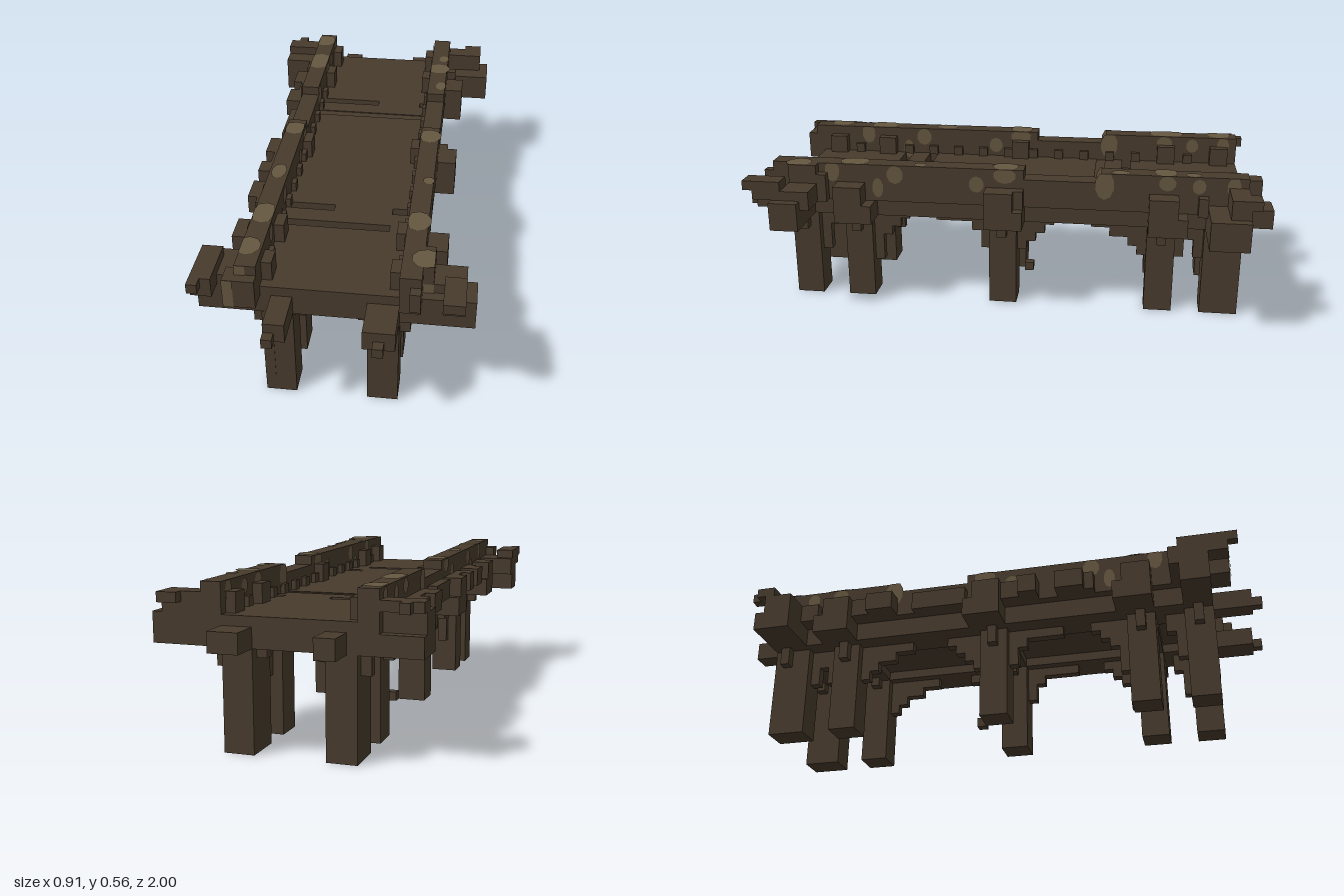
import * as THREE from 'three';

const U = 2 / 57; // edge of one block
const wood = new THREE.MeshStandardMaterial({ color: 0x483b2d });
wood.name = 'darkWood';
const moss = new THREE.MeshStandardMaterial({ color: 0x665841, side: THREE.DoubleSide });
moss.name = 'paleMoss';

const X = (i) => i * U, Z = (k) => (k - 28.5) * U;

export function createModel() {
  const root = new THREE.Group();
  root.name = 'timberBridge';

  // Box between block coordinates: x -13..13, y 0..16, z 0..57
  function box(name, x0, x1, y0, y1, z0, z1) {
    const g = new THREE.BoxGeometry((x1 - x0) * U, (y1 - y0) * U, (z1 - z0) * U);
    const m = new THREE.Mesh(g, wood);
    m.name = name;
    m.position.set(X((x0 + x1) / 2), ((y0 + y1) / 2) * U, Z((z0 + z1) / 2));
    root.add(m);
  }
  // The same box on both sides of the bridge axis (x = -0.5)
  function pair(name, x0, x1, y0, y1, z0, z1) {
    box(name, x0, x1, y0, y1, z0, z1);
    box(name, -1 - x1, -1 - x0, y0, y1, z0, z1);
  }

  // Deck: lower boards, then planks with open grooves
  box('deckBase', -7, 6, 11, 12, 3, 52);
  for (const [a, b] of [[3, 15], [16, 18], [19, 38], [39, 41], [42, 52]]) {
    box('deckPlanks', -7, 6, 12, 13, a, b);
  }
  box('plankInfill', 0, 5, 12, 13, 15, 16);
  box('plankInfill', -7, 6, 12, 12.9, 18, 19);
  box('plankInfill', -2, 4, 12, 13, 38, 39);
  box('plankInfill', 4, 6, 12, 13, 41, 42);

  // Long beams under the deck, with worn ends
  pair('stringer', 3, 6, 10, 12, 3, 52);
  box('beamEnd', 3, 6, 10, 12, 0, 3);
  box('beamEnd', -6, -4, 10, 12, 0, 3);
  box('beamEnd', 3, 6, 10, 12, 52, 56);
  box('beamEnd', -6, -4, 10, 12, 52, 56);
  box('beamTip', 4, 5, 10, 11, 56, 57);
  box('beamTip', -6, -5, 10, 11, 56, 57);

  // Cross beams over each row of legs
  box('endCrossBeam', -13, 13, 10, 12, 3, 7);
  box('endCrossBeam', -13, 13, 10, 12, 49, 52);
  for (const [a, b] of [[9, 13], [26, 30], [42, 46]]) {
    box('crossBeam', -11, 10, 10, 12, a, b);
    pair('postOuter', 8, 10, 11, 14, a + 1, b);
    pair('postInner', 5, 6, 12, 15, a + 1, b - 1);
  }

  // Legs
  for (const [a, b] of [[3, 7], [10, 13], [27, 30], [43, 46], [49, 52]]) {
    pair('leg', 3, 6, 0, 10, a, b);
  }
  box('legNub', -4, -3, 0, 1, 26, 27);
  box('legStrip', -7, -6, 2, 10, 52, 52.05);

  // Stepped braces: [z start, z end, lowest y]
  const steps = [
    [48, 49, 5], [47, 48, 8],
    [42, 43, 4], [41, 42, 7], [40, 41, 8], [39, 40, 9],
    [32, 36, 9], [31, 32, 8], [30, 31, 6],
    [26, 27, 6], [25, 26, 7], [24, 25, 8], [23, 24, 9],
    [17, 19, 9], [15, 17, 8], [14, 15, 7], [13, 14, 6],
    [9, 10, 6], [8, 9, 8], [7, 8, 6],
  ];
  for (const [a, b, y] of steps) pair('brace', 4, 5, y, 10, a, b);
  for (const z of [4, 11, 28, 44, 50]) {
    pair('sideBrace', 6, 7, 8, 10, z, z + 1);
    pair('sideBrace', 2, 3, 9, 10, z, z + 1);
  }

  // Railings: lower beam, wall and cap, lower in the broken stretch
  pair('railBase', 6, 7, 10, 13, 3, 52);
  pair('railWall', 6, 8, 12, 15, 3, 53);
  pair('railCap', 6, 8, 15, 16, 3, 18);
  pair('railCap', 6, 8, 15, 16, 26, 53);
  for (let z = 5; z < 52; z += 3) pair('railTooth', 5.5, 6, 13, 14, z, z + 1);

  // Worn blocks along the left-hand outer edge of the plan
  const chips = [
    [-10, 7, 9], [-10, 13, 15], [-11, 15, 18], [-10, 20, 26], [-10, 30, 32],
    [-11, 32, 34], [-11, 36, 39], [-10, 39, 40],
  ];
  for (const [x, a, b] of chips) box('outerBlock', x, -9, 12, 14, a, b);
  box('outerBlock', 8, 9, 12, 14, 7, 8);
  box('outerBlock', 8, 9, 12, 14, 26, 27);
  box('outerBlock', 8, 9, 12, 15, 47, 48);

  // Corner posts with broken arms
  box('cornerBlock', 8, 13, 12, 13, 3, 7);
  box('cornerArm', 8, 12, 13, 15, 3, 5);
  box('cornerTip', 10, 12, 14, 15, 2, 3);
  box('cornerBlock', -13, -9, 12, 14, 4, 7);
  box('cornerArm', -13, -9, 14, 15, 3, 5);
  box('cornerTip', -12, -11, 14, 15, 2, 3);
  box('cornerBlock', 8, 13, 12, 13, 49, 52);
  box('cornerArm', 8, 12, 12, 14, 48, 51);
  box('cornerArm', 10, 12, 13, 15, 51, 54);
  box('cornerTip', 10, 12, 14, 15, 54, 55);
  box('cornerCap', 8, 9, 14, 16, 48, 51);
  box('cornerBlock', -13, -9, 12, 14, 48, 52);
  box('cornerArm', -13, -11, 13, 15, 49, 54);
  box('cornerTip', -13, -12, 14, 15, 53, 55);
  box('cornerCap', -10, -7, 12, 15, 52, 54);
  box('cornerTip', 7, 8, 13, 15, 53, 54);
  pair('cornerInner', 5, 6, 12, 15, 4, 6);
  pair('cornerInner', 5, 6, 12, 15, 49, 51);

  // Moss patch: an eight-sided spot cut off at the limits of its face
  function spot(u, v, ru, rv, uMin, uMax, vMin, vMax) {
    const pts = [];
    for (let i = 0; i < 10; i++) {
      const a = (i / 10) * Math.PI * 2 + 0.3;
      pts.push(new THREE.Vector2(
        THREE.MathUtils.clamp(u + Math.cos(a) * ru, uMin, uMax) * U,
        THREE.MathUtils.clamp(v + Math.sin(a) * rv, vMin, vMax) * U));
    }
    return new THREE.ShapeGeometry(new THREE.Shape(pts));
  }
  function patch(g) {
    const m = new THREE.Mesh(g, moss);
    m.name = 'mossPatch';
    root.add(m);
  }
  // On the rail caps: [left side?, x, z, radius x, radius z]
  const tops = [
    [1, -8.3, 5, 1.5, 1.4], [1, -8, 11, 1.5, 2], [1, -8, 28, 1.5, 1.3],
    [1, -8, 37, 0.8, 1.4], [1, -8, 44.6, 1.4, 1.7], [1, -8.4, 50, 1.3, 1.4],
    [0, 7, 11.4, 1.4, 1.2], [0, 7, 28, 1.3, 1.4], [0, 7.5, 16, 0.6, 1],
    [0, 7.5, 8.6, 0.6, 0.8], [0, 7, 44.2, 1.3, 1.6], [0, 7.5, 37, 0.6, 0.7],
    [0, 8.2, 50, 1.4, 1.4],
  ];
  for (const [left, x, z, rx, rz] of tops) {
    const g = spot(x, -z, rx, rz, left ? -9 : 6, left ? -7 : 9, -53, -3);
    g.rotateX(-Math.PI / 2);
    g.translate(0, 16 * U + 0.003, Z(0));
    patch(g);
  }
  // On the faces of both rails: [z, y, radius z, radius y]
  const sides = [
    [46.5, 15.3, 0.8, 1.3], [41.6, 13.5, 0.6, 1.1], [39.7, 15, 0.9, 1],
    [31, 14.3, 0.8, 0.9], [28, 15.4, 1.2, 0.9], [17.6, 14.8, 1, 1.6],
    [11.2, 15.2, 0.9, 0.8], [8, 15, 0.7, 0.8], [4.5, 15, 0.7, 1.2],
  ];
  for (const [z, y, rz, ry] of sides) {
    for (const x of [8, 6, -7, -9]) {
      const out = x === 8 || x === -7 ? 1 : -1;
      const g = spot(-z, y, rz, ry, -53, -3, 12, 16);
      g.rotateY(Math.PI / 2);
      g.translate(X(x) + out * 0.003, 0, Z(0));
      patch(g);
    }
  }
  // On the end faces: [x0, x1, y0, y1, z]
  for (const [x0, x1, y0, y1, z] of [[-10, -9, 12, 15, 54], [-9, -8, 15, 16, 53], [8, 9, 13, 14, 51]]) {
    const g = new THREE.PlaneGeometry((x1 - x0) * U, (y1 - y0) * U);
    g.translate(X((x0 + x1) / 2), ((y0 + y1) / 2) * U, Z(z) + 0.003);
    patch(g);
  }
  return root;
}
